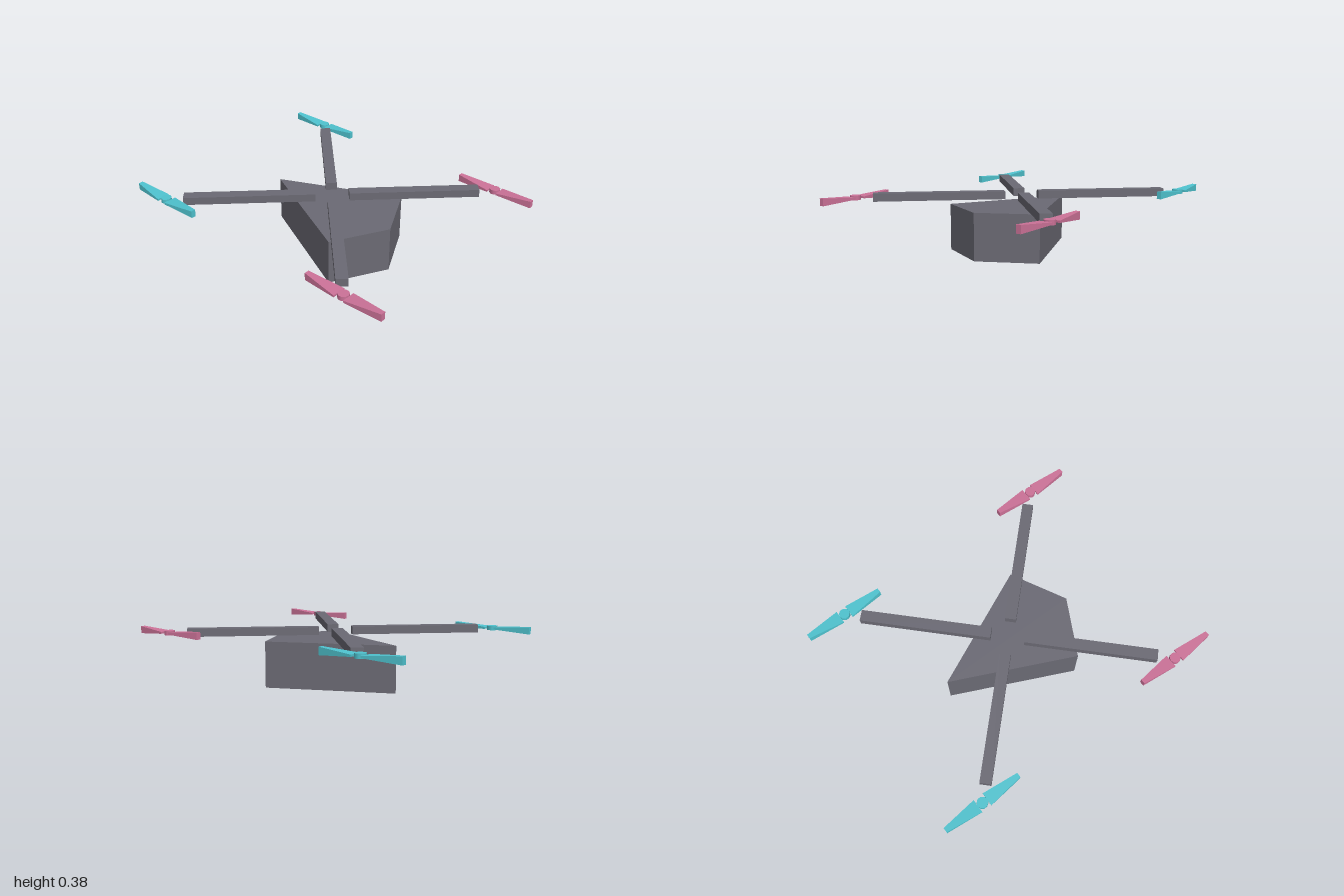
import * as THREE from 'three';

const mat = (name, color) => {
  const m = new THREE.MeshStandardMaterial({ color });
  m.name = name;
  return m;
};

// Blade running along +z: wide and thin at the root, narrow and tall at the tip
function bladeGeometry() {
  const root = 0.032, tip = 0.263;
  const geo = new THREE.BoxGeometry(1, 1, 1);
  const p = geo.attributes.position;
  for (let i = 0; i < p.count; i++) {
    const atTip = p.getZ(i) > 0;
    p.setXYZ(
      i,
      p.getX(i) * (atTip ? 0.03 : 0.085),
      p.getY(i) * (atTip ? 0.046 : 0.012),
      atTip ? tip : root
    );
  }
  geo.computeVertexNormals();
  return geo;
}

export function createModel() {
  const model = new THREE.Group();
  model.name = 'drone';
  const grey = mat('grey', 0x6b6a74);
  const teal = mat('teal', 0x4fc3cf);
  const pink = mat('pink', 0xcc7298);

  const add = (parent, name, geo, material) => {
    const mesh = new THREE.Mesh(geo, material);
    mesh.name = name;
    parent.add(mesh);
    return mesh;
  };

  // Kite-shaped body, long point to the back
  const kite = new THREE.Shape([
    new THREE.Vector2(0, -0.47),
    new THREE.Vector2(0.352, -0.285),
    new THREE.Vector2(0, 0.47),
    new THREE.Vector2(-0.352, -0.285),
  ]);
  const bodyGeo = new THREE.ExtrudeGeometry(kite, { depth: 0.296, bevelEnabled: false });
  bodyGeo.rotateX(-Math.PI / 2);
  add(model, 'body', bodyGeo, grey);

  // Four diagonal arms, each with a two-bladed propeller beyond its end
  const level = 0.356;
  const armGeo = new THREE.BoxGeometry(0.827, 0.05, 0.071);
  const hubGeo = new THREE.CylinderGeometry(0.034, 0.034, 0.028, 10);
  const bladeGeo = bladeGeometry();
  for (const sx of [1, -1]) {
    for (const sz of [1, -1]) {
      const arm = add(model, 'arm', armGeo, grey);
      arm.position.set(sx * 0.368, level, sz * 0.368);
      arm.rotation.y = -sx * sz * Math.PI / 4;

      const color = sz > 0 ? pink : teal;
      const propeller = new THREE.Group();
      propeller.name = 'propeller';
      propeller.position.set(sx * 0.736, level, sz * 0.737);
      add(propeller, 'hub', hubGeo, color);
      add(propeller, 'frontBlade', bladeGeo, color);
      add(propeller, 'backBlade', bladeGeo, color).rotation.y = Math.PI;
      model.add(propeller);
    }
  }
  return model;
}
